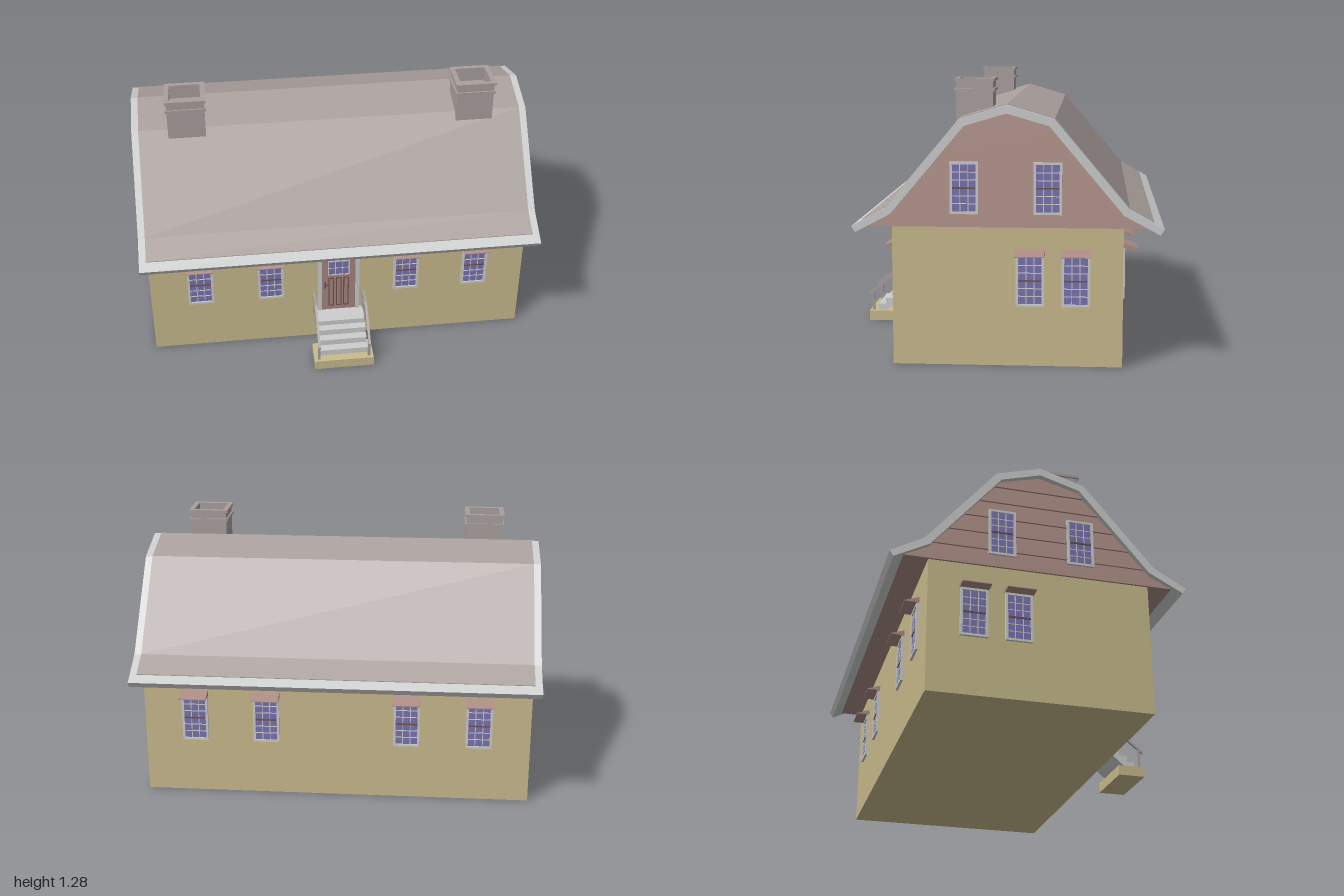
import * as THREE from 'three';

const mat = (name, color) => Object.assign(new THREE.MeshStandardMaterial({ color }), { name });
const M = {
  wall: mat('sand wall', 0xc8bb8c),
  siding: mat('rose siding', 0xab8c84),
  roof: mat('grey shingle', 0xaaa09d),
  trim: mat('pale trim', 0xcccecd),
  glass: mat('violet glass', 0x7a73b0),
  door: mat('door wood', 0xa8867e),
  panel: mat('dark panel', 0x6e544f),
  metal: mat('dark metal', 0x55565c),
};
const MID = -0.04; // ridge line in z

function add(parent, name, geo, material) {
  const m = new THREE.Mesh(geo, material);
  m.name = name;
  parent.add(m);
  return m;
}
function box(parent, name, material, w, h, d, x, y, z) {
  const m = add(parent, name, new THREE.BoxGeometry(w, h, d), material);
  m.position.set(x, y, z);
  return m;
}
// Extrude a [z, y] outline along x
function prism(parent, name, material, pts, x0, x1) {
  const s = new THREE.Shape(pts.map(([z, y]) => new THREE.Vector2(-z, y)));
  const g = new THREE.ExtrudeGeometry(s, { depth: x1 - x0, bevelEnabled: false });
  g.rotateY(Math.PI / 2).translate(x0, 0, 0);
  return add(parent, name, g, material);
}
// Half profile (from ridge outwards) mirrored about the ridge
const mirrored = (half) => [
  ...half.slice(1).reverse().map(([z, y]) => [MID - z, y]),
  ...half.map(([z, y]) => [MID + z, y]),
];

const OUTER = [[0, 1.172], [0.21, 1.11], [0.54, 0.717], [0.692, 0.632]];
const INNER = [[0, 1.135], [0.187, 1.08], [0.515, 0.69], [0.675, 0.605]];

function rectFrame(w, h, t, depth) {
  const rect = (p, a, b) => p.moveTo(-a, -b).lineTo(a, -b).lineTo(a, b).lineTo(-a, b).closePath();
  const s = rect(new THREE.Shape(), w / 2, h / 2);
  s.holes.push(rect(new THREE.Path(), w / 2 - t, h / 2 - t));
  return new THREE.ExtrudeGeometry(s, { depth, bevelEnabled: false });
}

// Sash window facing local +z, with an optional sloping hood
function makeWindow(hood) {
  const g = new THREE.Group(), w = 0.126, h = 0.232;
  g.name = 'window';
  add(g, 'windowFrame', rectFrame(w, h, 0.011, 0.012), M.trim);
  box(g, 'windowGlass', M.glass, w - 0.02, h - 0.02, 0.006, 0, 0, 0.002);
  for (const x of [-0.018, 0.018]) box(g, 'muntin', M.trim, 0.004, h - 0.02, 0.003, x, 0, 0.006);
  for (const y of [-0.07, -0.035, 0.035, 0.07]) box(g, 'muntin', M.trim, w - 0.02, 0.004, 0.003, 0, y, 0.006);
  box(g, 'meetingRail', M.panel, w - 0.02, 0.007, 0.005, 0, 0, 0.007);
  if (hood) prism(g, 'windowHood', M.siding, [[0, 0.116], [0.067, 0.116], [0.067, 0.12], [0, 0.142]], -0.066, 0.066);
  return g;
}

// Overlapping boards filling the gable, facing local +x
function clapboards() {
  const prof = [[0.63, 0.63], [0.69, 0.515], [1.08, 0.187], [1.135, 0]];
  const half = (y) => {
    const i = Math.min(2, Math.max(0, prof.findIndex((p) => p[0] >= y - 1e-9) - 1));
    const [a, b] = [prof[i], prof[i + 1]];
    return THREE.MathUtils.lerp(a[1], b[1], (y - a[0]) / (b[0] - a[0]));
  };
  const rows = 6, step = (1.135 - 0.63) / rows, pos = [];
  const quad = (a, b, c, d) => pos.push(...a, ...b, ...c, ...a, ...c, ...d);
  for (let r = 0; r < rows; r++) {
    const lo = 0.63 + r * step, hi = r === rows - 1 ? 1.135 : lo + step;
    const out = (y) => 0.001 + 0.009 * (hi - y) / step;
    const ys = [lo, ...[0.69, 1.08].filter((y) => y > lo && y < hi), hi];
    for (let i = 0; i + 1 < ys.length; i++) {
      const [a, b] = [ys[i], ys[i + 1]], wa = half(a), wb = half(b);
      quad([out(a), a, wa], [out(a), a, -wa], [out(b), b, -wb], [out(b), b, wb]);
    }
    const w = half(lo);
    quad([0, lo, w], [0, lo, -w], [out(lo), lo, -w], [out(lo), lo, w]);
  }
  const g = new THREE.BufferGeometry();
  g.setAttribute('position', new THREE.Float32BufferAttribute(pos, 3));
  g.computeVertexNormals();
  return g;
}

function makeChimney(x) {
  const g = new THREE.Group();
  g.name = 'chimney';
  box(g, 'chimneyStack', M.roof, 0.18, 0.17, 0.166, 0, 1.125, 0);
  const ring = (name, w, d, t, y, h) => {
    const geo = rectFrame(1, 1, t, h).scale(w, d, 1).rotateX(-Math.PI / 2);
    add(g, name, geo, M.roof).position.y = y;
  };
  ring('chimneyRim', 0.18, 0.166, 0.09, 1.21, 0.07);
  ring('chimneyBand', 0.196, 0.182, 0.1, 1.222, 0.013);
  ring('chimneyCap', 0.196, 0.182, 0.1, 1.267, 0.013);
  g.position.set(x, 0, 0.117);
  return g;
}

function makeDoor() {
  const g = new THREE.Group();
  g.name = 'frontDoor';
  add(g, 'doorFrame', rectFrame(0.208, 0.38, 0.02, 0.012), M.trim).position.y = 0.335;
  box(g, 'doorLeaf', M.door, 0.17, 0.35, 0.008, 0, 0.335, 0.003);
  add(g, 'doorWindowFrame', rectFrame(0.11, 0.09, 0.006, 0.004), M.trim).position.set(0, 0.437, 0.007);
  box(g, 'doorWindow', M.glass, 0.1, 0.08, 0.003, 0, 0.437, 0.007);
  for (const x of [-0.017, 0.017]) box(g, 'doorMuntin', M.trim, 0.003, 0.08, 0.003, x, 0.437, 0.009);
  box(g, 'doorMuntin', M.trim, 0.1, 0.003, 0.003, 0, 0.437, 0.009);
  for (const x of [-0.037, 0, 0.037]) {
    add(g, 'doorPanelEdge', rectFrame(0.028, 0.18, 0.005, 0.003), M.panel).position.set(x, 0.285, 0.007);
  }
  box(g, 'doorHandlePlate', M.metal, 0.009, 0.04, 0.005, -0.068, 0.33, 0.009);
  box(g, 'doorHandle', M.metal, 0.022, 0.006, 0.006, -0.062, 0.335, 0.016);
  g.position.z = 0.475;
  return g;
}

function makeStairs() {
  const g = new THREE.Group();
  g.name = 'stairs';
  box(g, 'stairBase', M.wall, 0.295, 0.05, 0.135, 0, 0.025, 0.665);
  prism(g, 'steps', M.trim, [
    [0.69, 0.05], [0.69, 0.081], [0.65, 0.081], [0.65, 0.112], [0.61, 0.112], [0.61, 0.143],
    [0.572, 0.143], [0.572, 0.17], [0.475, 0.17], [0.475, 0.145], [0.535, 0.145], [0.645, 0.05],
  ], -0.122, 0.122);
  for (const s of [-1, 1]) {
    const x = s * 0.125, t = 0.006;
    box(g, 'lowerPost', M.roof, 0.012, 0.1, 0.011, x, 0.1, 0.714);
    box(g, 'upperPost', M.roof, 0.012, 0.115, 0.011, x, 0.212, 0.564);
    box(g, 'wallPost', M.roof, 0.012, 0.115, 0.011, x, 0.212, 0.482);
    box(g, 'middleRail', M.roof, 0.007, 0.006, 0.09, x, 0.22, 0.521);
    prism(g, 'handrail', M.roof, [
      [0.475, 0.278], [0.571, 0.278], [0.735, 0.142], [0.735, 0.128], [0.566, 0.265], [0.475, 0.265],
    ], x - t, x + t);
  }
  return g;
}

export function createModel() {
  const house = new THREE.Group();
  house.name = 'house';
  box(house, 'walls', M.wall, 1.87, 0.63, 1.03, 0, 0.315, MID);

  // Gable body, siding and roof
  prism(house, 'gableBody', M.siding, mirrored([...INNER.slice(0, 3), [0.63, 0.63]]), -0.935, 0.935);
  const boards = clapboards();
  for (const s of [-1, 1]) {
    const b = add(house, 'gableSiding', boards, M.siding);
    b.position.set(s * 0.935, 0, MID);
    b.rotation.y = s > 0 ? 0 : Math.PI;
  }
  prism(house, 'roofTrim', M.trim, [...mirrored(OUTER), ...mirrored(INNER).reverse()], -0.965, 0.965);
  const cover = mirrored([...OUTER.slice(0, 3), [0.648, 0.657]]);
  const shift = (d) => cover.map(([z, y]) => [z, y + d]);
  prism(house, 'roofShingles', M.roof, [...shift(0.003), ...shift(-0.004).reverse()], -0.932, 0.932);
  for (const s of [-1, 1]) house.add(makeChimney(s * 0.7));

  // Windows on all four sides
  const place = (x, y, z, ry, hood) => {
    const w = makeWindow(hood);
    w.position.set(x, y, z);
    w.rotation.y = ry;
    house.add(w);
  };
  for (const x of [-0.688, -0.34, 0.34, 0.688]) {
    place(x, 0.39, 0.475, 0, true);
    place(x, 0.39, -0.555, Math.PI, true);
  }
  for (const s of [-1, 1]) {
    for (const z of [-0.142, -0.346]) place(s * 0.935, 0.39, z, s * Math.PI / 2, true);
    for (const z of [0.15, -0.22]) place(s * 0.942, 0.805, z, s * Math.PI / 2, false);
  }

  house.add(makeDoor(), makeStairs());
  return house;
}
